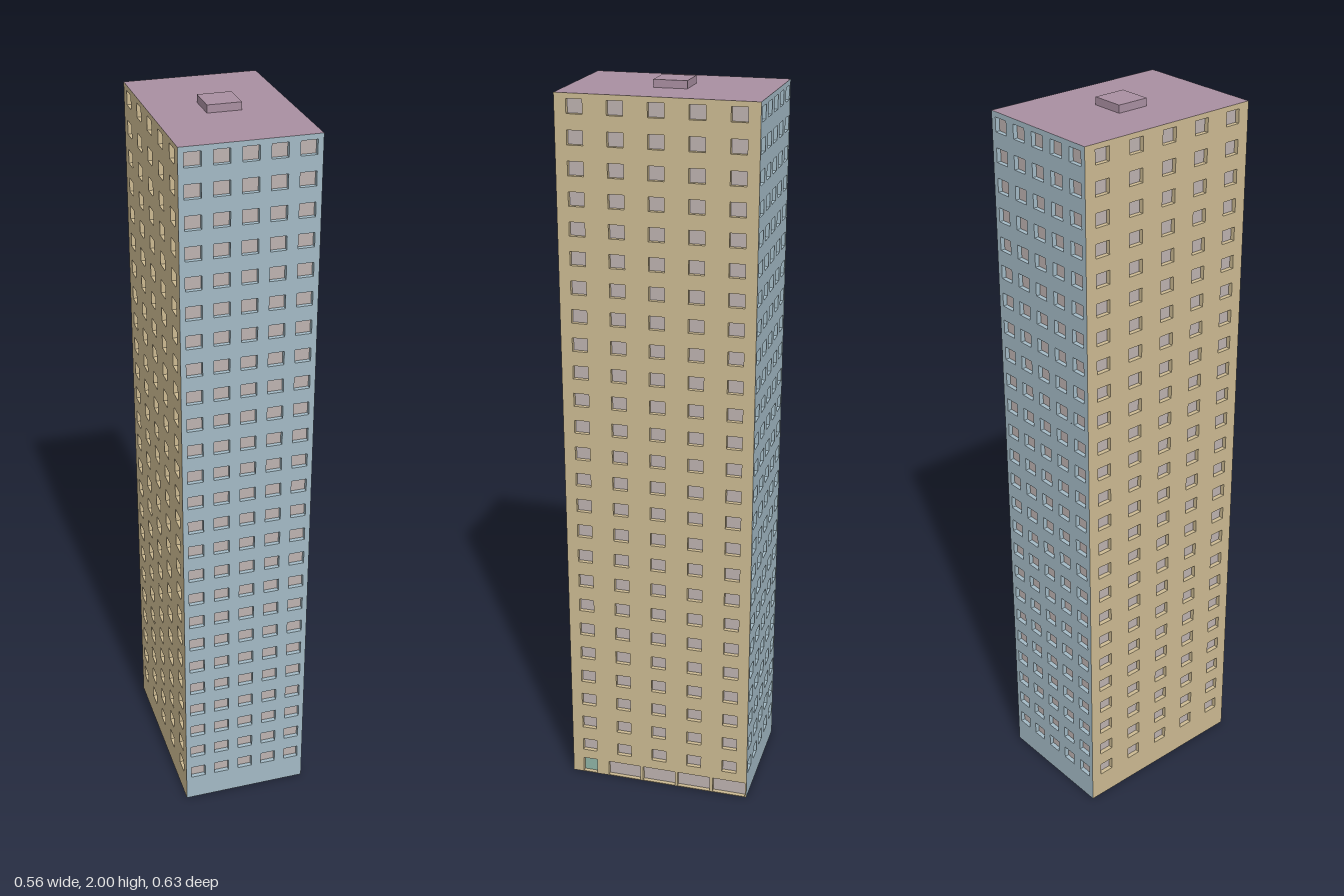
import * as THREE from 'three';
import { mergeGeometries } from 'three/addons/utils/BufferGeometryUtils.js';

const W = 0.353, L = 0.522, H = 1.98; // tower footprint and roof height
const BAYS = 5, FLOORS = 25, PITCH = 0.0772, FIRST = 0.095;
const WIN_W = 0.042, WIN_H = 0.037, DEPTH = 0.012;

const mat = (color) => new THREE.MeshStandardMaterial({ color, flatShading: true });
const tan = mat(0xccba92), blue = mat(0xa3bac5), roofPink = mat(0xa98fa1);
const glass = mat(0xbdb2b0), teal = mat(0x8fb3a6), grey = mat(0xcccccc);

function add(parent, geometry, material, name) {
  const mesh = new THREE.Mesh(geometry, material);
  mesh.name = name;
  parent.add(mesh);
  return mesh;
}

// Four inward-facing sides of a recess behind an opening
function reveal({ x, y, w, h }) {
  const g = new THREE.BoxGeometry(w, h, DEPTH);
  g.setIndex(Array.from(g.index.array).slice(0, 24).reverse());
  g.clearGroups();
  g.computeVertexNormals();
  return g.translate(x, y, -DEPTH / 2);
}

const pane = ({ x, y, w, h }) => new THREE.PlaneGeometry(w, h).translate(x, y, -DEPTH);

function rectHole({ x, y, w, h }) {
  const p = new THREE.Path();
  p.moveTo(x - w / 2, y - h / 2);
  p.lineTo(x - w / 2, y + h / 2);
  p.lineTo(x + w / 2, y + h / 2);
  p.lineTo(x + w / 2, y - h / 2);
  p.closePath();
  return p;
}

// One facade facing +z, with a grid of recessed windows and optional ground floor
function facade(name, width, wallMaterial, withEntrance) {
  const group = new THREE.Group();
  group.name = name;
  const bay = width / BAYS;
  const bayX = (i) => (i + 0.5) * bay - width / 2;

  const windows = [];
  for (let f = 0; f < FLOORS; f++)
    for (let i = 0; i < BAYS; i++)
      windows.push({ x: bayX(i), y: FIRST + f * PITCH, w: WIN_W, h: WIN_H });

  // Entrance door in the first bay, wide shopfronts in the others
  const doors = [], shopfronts = [];
  if (withEntrance) {
    doors.push({ x: bayX(0), y: 0.025, w: WIN_W, h: 0.046 });
    for (let i = 1; i < BAYS; i++)
      shopfronts.push({ x: bayX(i), y: 0.025, w: bay * 0.92, h: 0.046 });
  }

  const openings = [...windows, ...doors, ...shopfronts];
  const shape = new THREE.Shape();
  shape.moveTo(-width / 2, 0);
  shape.lineTo(width / 2, 0);
  shape.lineTo(width / 2, H);
  shape.lineTo(-width / 2, H);
  shape.closePath();
  shape.holes = openings.map(rectHole);

  add(group, new THREE.ShapeGeometry(shape), wallMaterial, 'wall');
  add(group, mergeGeometries(openings.map(reveal)), wallMaterial, 'openingReveals');
  add(group, mergeGeometries(windows.map(pane)), glass, 'windowPanes');
  if (withEntrance) {
    add(group, mergeGeometries(doors.map(pane)), teal, 'entranceDoor');
    add(group, mergeGeometries(shopfronts.map(pane)), glass, 'shopfronts');
  }
  return group;
}

export function createModel() {
  const model = new THREE.Group();
  model.name = 'towerBlock';
  const tower = new THREE.Group();
  tower.name = 'tower';
  tower.rotation.y = -0.502;
  model.add(tower);

  // Four facades, turned to face outwards
  const sides = [
    ['frontFacade', W, blue, false],
    ['entranceFacade', L, tan, true],
    ['backFacade', W, blue, false],
    ['rearFacade', L, tan, false],
  ];
  sides.forEach(([name, width, material, entrance], k) => {
    const angle = (k * Math.PI) / 2;
    const side = facade(name, width, material, entrance);
    const out = (k % 2 ? W : L) / 2;
    side.rotation.y = angle;
    side.position.set(Math.sin(angle) * out, 0, Math.cos(angle) * out);
    tower.add(side);
  });

  // Flat roof, rooftop housing and underside
  add(tower, new THREE.PlaneGeometry(W, L).rotateX(-Math.PI / 2).translate(0, H, 0), roofPink, 'roof');
  add(tower, new THREE.BoxGeometry(0.088, 0.02, 0.088).translate(0, H + 0.01, 0), roofPink, 'roofHousing');
  add(tower, new THREE.PlaneGeometry(W, L).rotateX(Math.PI / 2), grey, 'underside');
  return model;
}
